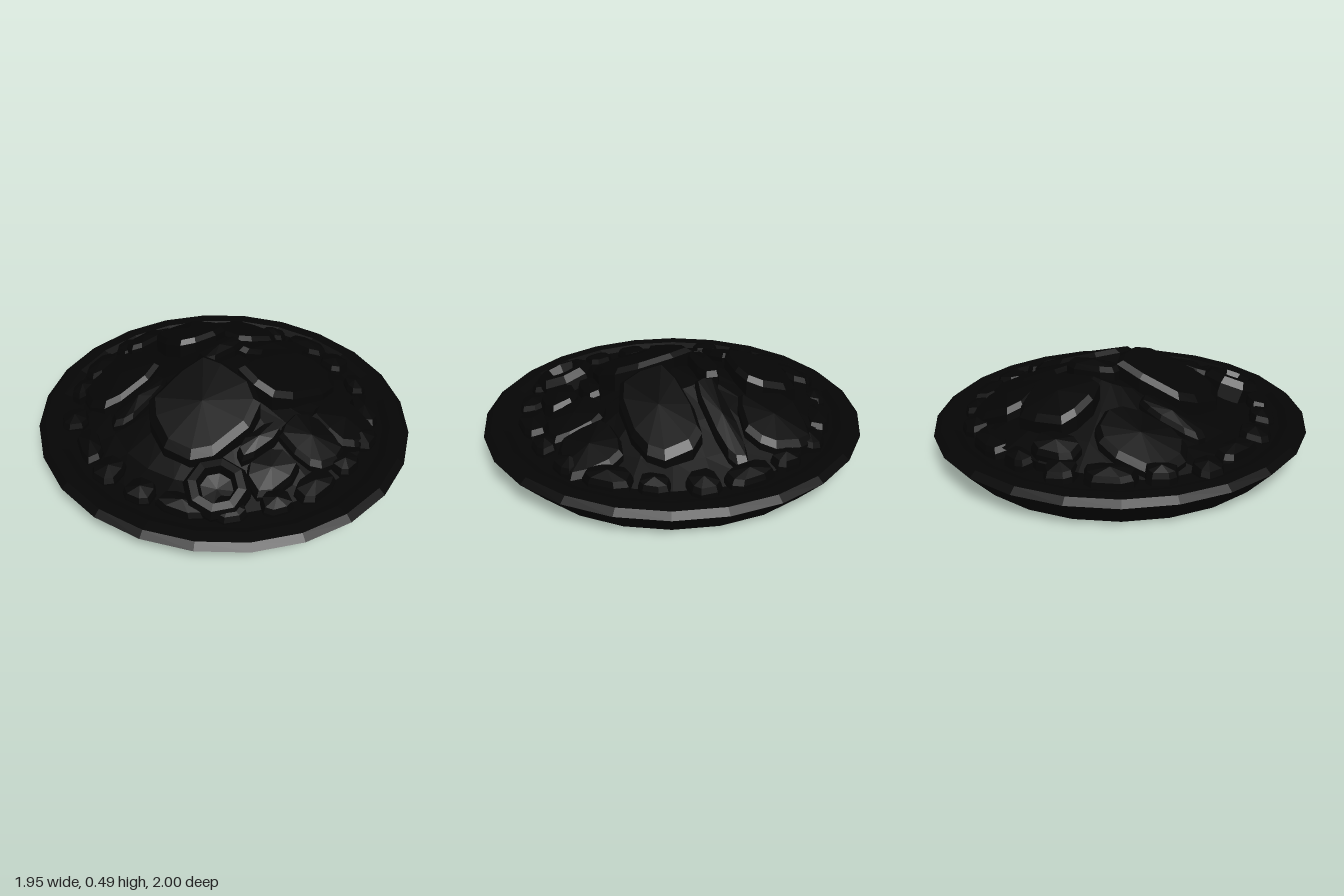
import * as THREE from 'three';

const material = new THREE.MeshStandardMaterial({ color: 0x050505, flatShading: true });

// Small seeded generator for irregular outlines and sizes
function seeded(seed) {
  let s = seed * 7919 + 17;
  return () => (s = (s * 16807) % 2147483647) / 2147483647;
}

// Slightly off-centre cone that the stones lie on
function heapHeight(x, z) {
  return Math.min(0.48, 0.52 - 0.36 * Math.hypot((x - 0.05) * 1.2, z + 0.08));
}

function lathe(name, profile, sides) {
  const geo = new THREE.LatheGeometry(profile.map(([r, y]) => new THREE.Vector2(r, y)), sides);
  const mesh = new THREE.Mesh(geo, material);
  mesh.name = name;
  return mesh;
}

// Bevelled slab with an irregular outline, its top tilted by the slopes sx and sz
function stone(name, seed, { x, z, w, d, turn, top, sx, sz, thick }) {
  const rand = seeded(seed);
  const sides = Math.max(w, d) > 0.3 ? 11 : 8;
  const wobble = Array.from({ length: sides }, () => 0.92 + 0.13 * rand());
  const rings = [[0, -thick], [1, -thick], [0.98, -0.035], [0.86, -0.006], [0, 0.01]];
  const mesh = lathe(name, rings, sides);
  const pos = mesh.geometry.attributes.position;
  const power = (v) => Math.sign(v) * Math.abs(v) ** 0.7;
  const cos = Math.cos(turn), sin = Math.sin(turn);
  for (let i = 0; i < pos.count; i++) {
    const column = Math.floor(i / rings.length) % sides;
    const r = rings[i % rings.length][0] * wobble[column] / 2;
    const a = (column / sides) * Math.PI * 2 + 0.3;
    const px = power(Math.cos(a)) * r * w, pz = -power(Math.sin(a)) * r * d;
    const dx = px * cos + pz * sin, dz = -px * sin + pz * cos;
    pos.setXYZ(i, x + dx, Math.max(0.14, top + pos.getY(i) + sx * dx + sz * dz), z + dz);
  }
  mesh.geometry.computeVertexNormals();
  return mesh;
}

// Stone lying on the heap, tilted with its slope
function heapStone([x, z, w, d, lift = 0], index) {
  const e = 0.05;
  return stone('heapStone', index + 1, {
    x, z, w, d, turn: 0.1, top: heapHeight(x, z) + lift, thick: 0.2,
    sx: (heapHeight(x + e, z) - heapHeight(x - e, z)) / (2 * e),
    sz: (heapHeight(x, z + e) - heapHeight(x, z - e)) / (2 * e),
  });
}

// x, z, width, depth and optional lift
const heapStones = [
  [-0.22, 0.12, 0.54, 0.52, 0.02],
  [0.1, -0.45, 0.38, 0.36, 0.03],
  [-0.36, -0.45, 0.46, 0.34],
  [0.45, -0.4, 0.36, 0.36],
  [0.33, 0.16, 0.6, 0.36, 0.01],
  [0.14, 0.55, 0.28, 0.32],
  [0.4, 0.52, 0.32, 0.32],
  [-0.15, 0.59, 0.28, 0.2],
  [0.44, -0.13, 0.56, 0.13],
  [0.08, -0.14, 0.3, 0.12],
  [-0.1, 0.43, 0.28, 0.1],
  [-0.4, -0.2, 0.34, 0.13],
  [-0.05, -0.7, 0.24, 0.14],
];

// Small stone at the foot of the heap; every third one is longer
function edgeStone(index, count) {
  const rand = seeded(index + 50);
  const a = (index / count) * Math.PI * 2;
  const r = 0.74 + 0.05 * rand();
  return stone('edgeStone', index + 50, {
    x: Math.sin(a) * r, z: Math.cos(a) * r,
    w: index % 3 ? 0.16 : 0.26, d: 0.1 + 0.06 * rand(), turn: a + 0.5 * (rand() - 0.5),
    top: 0.205 + 0.025 * rand(), sx: -0.15 * Math.sin(a), sz: -0.15 * Math.cos(a), thick: 0.08,
  });
}

export function createModel() {
  const model = new THREE.Group();

  // Shallow dish with sloping sides and a narrow bevelled rim
  const dish = lathe('dish', [[0, 0], [0.865, 0], [1, 0.145], [0.965, 0.172], [0.9, 0.172], [0.86, 0.155], [0, 0.155]], 24);
  dish.scale.x = 0.977;
  model.add(dish);

  // Heap filling the gaps between the stones
  const heap = lathe('heap', [[0.78, 0], [0.6, 0], [0.4, 0], [0.2, 0], [0, 0]], 24);
  const pos = heap.geometry.attributes.position;
  for (let i = 0; i < pos.count; i++) {
    pos.setY(i, Math.max(0.15, heapHeight(pos.getX(i), pos.getZ(i)) - 0.06));
  }
  heap.geometry.computeVertexNormals();
  model.add(heap);

  const stones = new THREE.Group();
  stones.name = 'stones';
  heapStones.forEach((spec, i) => stones.add(heapStone(spec, i)));
  const edgeCount = 21;
  for (let i = 0; i < edgeCount; i++) stones.add(edgeStone(i, edgeCount));
  model.add(stones);

  // Hollow stone at the front, on the model's right
  const hollow = lathe('hollowStone', [[0.16, -0.12], [0.165, -0.04], [0.14, 0], [0.1, 0.005], [0.08, -0.04], [0, -0.05]], 8);
  hollow.position.set(-0.43, 0.27, 0.53);
  hollow.rotation.set(0.3, 0, 0.2);
  model.add(hollow);

  return model;
}
